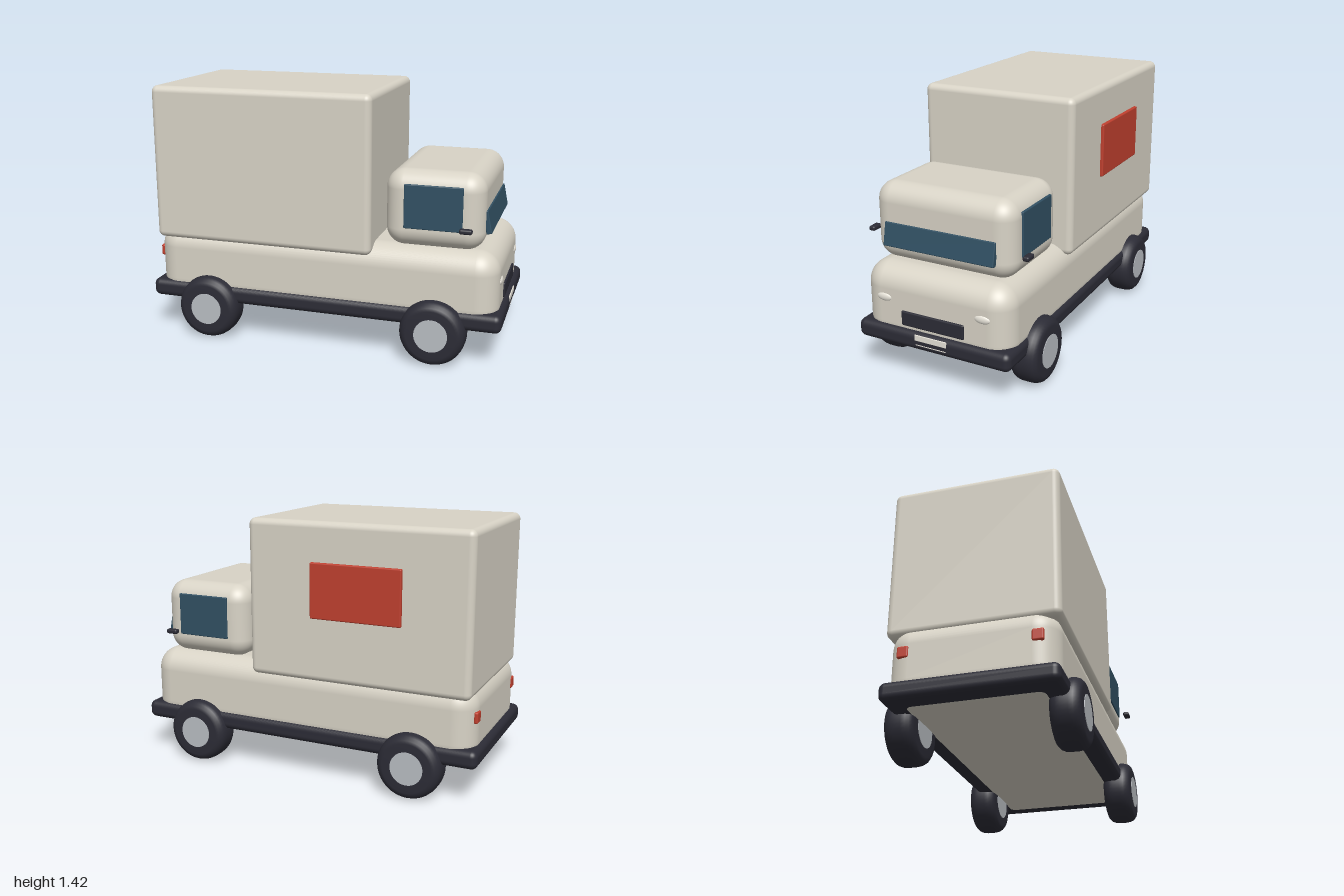
import * as THREE from 'three';
import { RoundedBoxGeometry } from 'three/addons/geometries/RoundedBoxGeometry.js';

const material = (name, color) => {
  const m = new THREE.MeshStandardMaterial({ color });
  m.name = name;
  return m;
};

export function createModel() {
  const truck = new THREE.Group();
  truck.name = 'boxTruck';

  const cream = material('creamPaint', 0xd8d3c6);
  const dark = material('darkRubber', 0x2c2c36);
  const glass = material('windowGlass', 0x315063);
  const red = material('redPaint', 0xc0402f);
  const silver = material('silverHub', 0xb9bdc2);
  const pale = material('paleLight', 0xe6e2d8);

  const add = (name, geometry, mat, x = 0, y = 0, z = 0) => {
    const mesh = new THREE.Mesh(geometry, mat);
    mesh.name = name;
    mesh.position.set(x, y, z);
    truck.add(mesh);
    return mesh;
  };
  // Rounded block given by its limits on each axis
  const block = (name, mat, [x0, x1], [y0, y1], [z0, z1], radius, segments = 6) =>
    add(name, new RoundedBoxGeometry(x1 - x0, y1 - y0, z1 - z0, segments, radius), mat,
      (x0 + x1) / 2, (y0 + y1) / 2, (z0 + z1) / 2);

  // Main volumes
  block('lowerBody', cream, [-0.972, 0.972], [0.198, 0.622], [-0.43, 0.43], 0.12, 8);
  block('bumperSkirt', dark, [-1, 1], [0.204, 0.304], [-0.447, 0.447], 0.035);
  block('cargoBox', cream, [-0.956, 0.296], [0.562, 1.42], [-0.447, 0.447], 0.035);
  block('cabin', cream, [0.355, 0.885], [0.616, 1.03], [-0.403, 0.403], 0.1, 8);

  // Red panel on the right side of the cargo box
  block('sidePanel', red, [-0.588, -0.078], [0.91, 1.208], [-0.464, -0.44], 0.007, 3);

  // Leaning windscreen
  const windscreen = add('windscreen',
    new RoundedBoxGeometry(0.03, 0.125, 0.64, 3, 0.005), glass, 0.89, 0.768, 0);
  windscreen.rotation.z = 0.2;

  // Nose details
  block('grille', dark, [0.955, 0.982], [0.32, 0.4], [-0.183, 0.183], 0.008, 3);
  block('numberPlate', pale, [0.994, 1.001], [0.262, 0.295], [-0.094, 0.094], 0.003, 2);
  block('plateEdge', pale, [0.996, 1.001], [0.237, 0.243], [-0.09, 0.09], 0.002, 2);

  // Tyre profile: radius, then position along the axle
  const tyreProfile = [[0.08, -0.079], [0.135, -0.079], [0.152, -0.074], [0.167, -0.061],
    [0.175, -0.043], [0.178, -0.02], [0.178, 0.02], [0.175, 0.043], [0.167, 0.061],
    [0.152, 0.074], [0.135, 0.079], [0.08, 0.079]].map(([r, a]) => new THREE.Vector2(r, a));
  const tyreGeometry = new THREE.LatheGeometry(tyreProfile, 48).rotateX(Math.PI / 2);
  const hubGeometry = new THREE.CylinderGeometry(0.09, 0.09, 0.164, 40).rotateX(Math.PI / 2);
  const headlightGeometry = new THREE.SphereGeometry(1, 24, 16).scale(0.013, 0.022, 0.045);

  // Mirrored parts
  for (const [side, s] of [['left', -1], ['right', 1]]) {
    const span = (a, b) => (s > 0 ? [a, b] : [-b, -a]);
    block(side + 'SideWindow', glass, [0.466, 0.776], [0.727, 0.963], span(0.395, 0.411), 0.005, 3);
    block(side + 'Mirror', dark, [0.768, 0.835], [0.736, 0.762], span(0.433, 0.469), 0.01, 4);
    block(side + 'TailLight', red, [-0.978, -0.955], [0.428, 0.49], span(0.308, 0.368), 0.009, 3);
    add(side + 'Headlight', headlightGeometry, pale, 0.968, 0.453, s * 0.287);
    for (const [end, x] of [['Rear', -0.645], ['Front', 0.642]]) {
      add(side + end + 'Tyre', tyreGeometry, dark, x, 0.178, s * 0.417);
      add(side + end + 'Hub', hubGeometry, silver, x, 0.178, s * 0.417);
    }
  }
  return truck;
}
